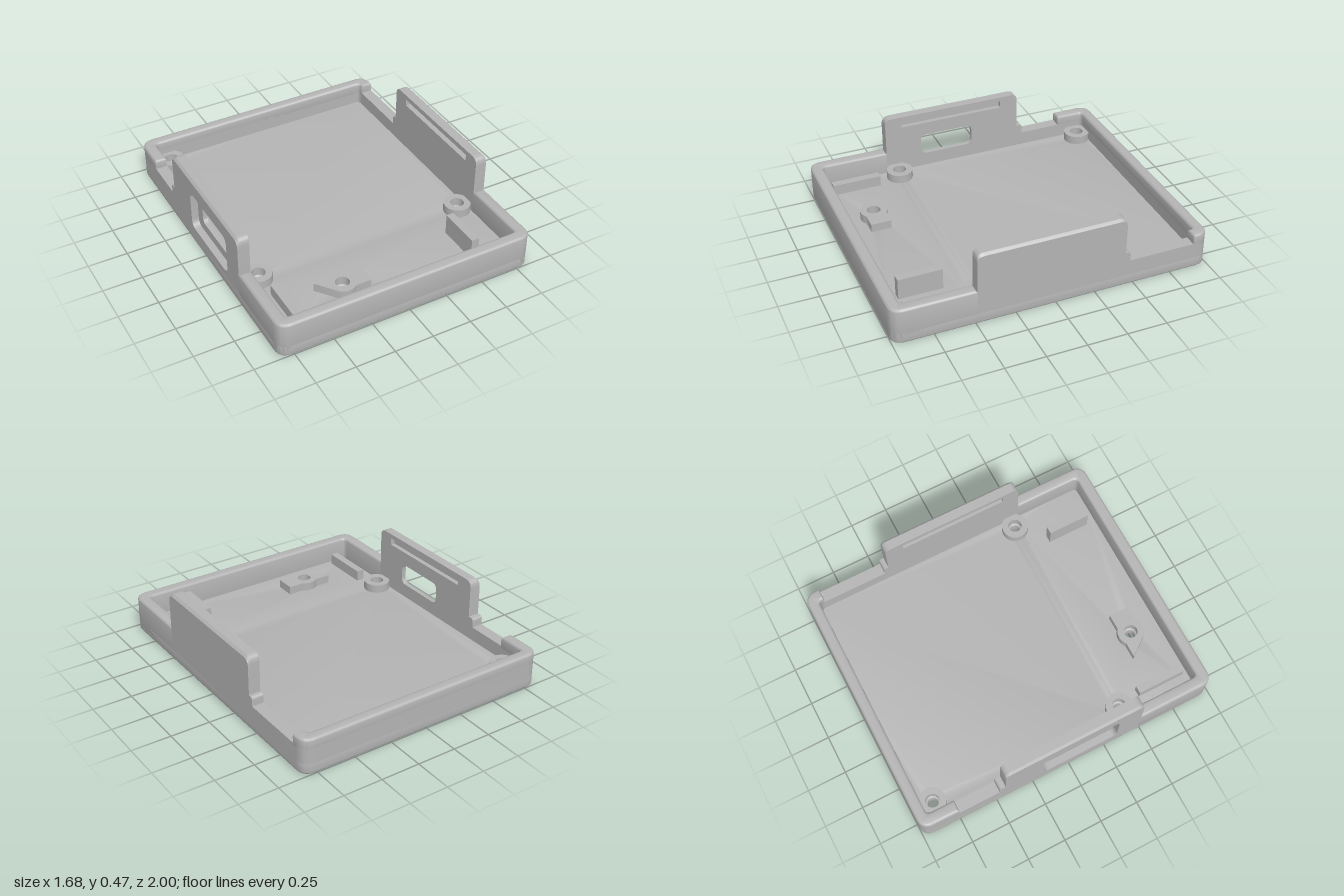
import * as THREE from 'three';
import { toCreasedNormals } from 'three/addons/utils/BufferGeometryUtils.js';

const W = 0.84, IN = 0.765, FLOOR = 0.08, RIM = 0.23, NOTCH = 0.17, TOP = 0.475;
const TAB_FRONT = 0.49, TAB_BACK = -0.44;

// closed outline from [u, v, cornerRadius] points
function outline(points, Type = THREE.Shape) {
  const path = new Type();
  const n = points.length;
  points.forEach(([u, v, r = 0], i) => {
    const corner = new THREE.Vector2(u, v);
    const toward = ([a, b]) => new THREE.Vector2(a, b).sub(corner).setLength(r).add(corner);
    const a = toward(points[(i + n - 1) % n]), b = toward(points[(i + 1) % n]);
    if (i === 0) path.moveTo(a.x, a.y); else path.lineTo(a.x, a.y);
    if (r > 0) path.quadraticCurveTo(u, v, b.x, b.y);
  });
  path.closePath();
  return path;
}

const rect = (u0, u1, v0, v1, r = 0, Type = THREE.Shape) =>
  outline([[u0, v0, r], [u1, v0, r], [u1, v1, r], [u0, v1, r]], Type);

const circle = (u, v, r, Type = THREE.Shape) => {
  const path = new Type();
  path.absarc(u, v, r, 0, Math.PI * 2, false);
  return path;
};

// extrudes a plan outline (x, -z) upward from y0 to y1, with optional rounded edges
function upright(shape, y0, y1, bevel = 0) {
  const g = new THREE.ExtrudeGeometry(shape, {
    depth: y1 - y0 - 2 * bevel, curveSegments: 10, bevelEnabled: bevel > 0,
    bevelSize: bevel, bevelThickness: bevel, bevelOffset: -bevel, bevelSegments: 3,
  });
  g.rotateX(-Math.PI / 2).translate(0, y0 + bevel, 0);
  return toCreasedNormals(g, 0.6);
}

// extrudes a side outline (z, y) between two x positions; chamfer lowers the top at outerX
function sideLayer(shape, x0, x1, outerX = null, chamfer = 0) {
  const g = new THREE.ExtrudeGeometry(shape, { depth: x1 - x0, curveSegments: 8, bevelEnabled: false });
  g.rotateY(-Math.PI / 2).translate(x1, 0, 0);
  if (outerX !== null) {
    const p = g.attributes.position;
    for (let i = 0; i < p.count; i++) {
      if (Math.abs(p.getX(i) - outerX) < 1e-4 && p.getY(i) > 0.42) p.setY(i, p.getY(i) - chamfer);
    }
    g.computeVertexNormals();
  }
  return toCreasedNormals(g, 0.5);
}

export function createModel() {
  const model = new THREE.Group();
  model.name = 'enclosureTray';
  const grey = new THREE.MeshStandardMaterial({ color: 0xb4b4b4 });
  grey.name = 'grey plastic';
  const add = (name, geometry, parent = model) => {
    const mesh = new THREE.Mesh(geometry, grey);
    mesh.name = name;
    parent.add(mesh);
  };

  // floor with four screw holes
  const bosses = [[-0.69, -0.86], [-0.69, 0.43], [0.69, 0.43]];
  const mount = [-0.3, 0.735];
  const floor = rect(-W, W, -1, 1, 0.08);
  for (const [x, z] of [...bosses, mount]) floor.holes.push(circle(x, -z, 0.031, THREE.Path));
  add('floor', upright(floor, 0, FLOOR, 0.012));

  // front wall, wrapping round to the side panels
  add('frontWall', upright(outline([
    [-W, -TAB_FRONT], [-W, -1, 0.08], [W, -1, 0.08], [W, -TAB_FRONT],
    [IN, -TAB_FRONT], [IN, -0.925, 0.03], [-IN, -0.925, 0.03], [-IN, -TAB_FRONT],
  ]), 0.02, RIM, 0.016));

  // back wall: low part with the side notches, then the raised rim
  const backU = (leftEnd, rightEnd) => outline([
    [W, leftEnd], [W, 1, 0.08], [-W, 1, 0.08], [-W, rightEnd],
    [-IN, rightEnd], [-IN, 0.93, 0.03], [IN, 0.93, 0.03], [IN, leftEnd],
  ]);
  add('backWall', upright(backU(-TAB_BACK, -TAB_BACK), 0.02, NOTCH));
  add('backRim', upright(backU(0.895, 0.75), NOTCH - 0.03, RIM, 0.016));

  // tall side panels, layered so the grooves and the port recess have depth
  const panel = (...holes) => {
    const s = outline([[TAB_BACK, 0.02], [TAB_FRONT, 0.02], [TAB_FRONT, TOP, 0.045], [TAB_BACK, TOP, 0.045]]);
    s.holes.push(...holes);
    return s;
  };
  const groove = () => rect(-0.32, 0.38, 0.4, 0.445, 0, THREE.Path);
  const recess = () => rect(-0.18, 0.33, 0.11, 0.37, 0.05, THREE.Path);
  const port = () => rect(-0.11, 0.25, 0.17, 0.31, 0.04, THREE.Path);

  const left = new THREE.Group();
  left.name = 'leftPanel';
  add('leftOuterEdge', sideLayer(panel(), W - 0.015, W, W, 0.015), left);
  add('leftCore', sideLayer(panel(), W - 0.04, W - 0.015), left);
  add('leftGrooveLayer', sideLayer(panel(groove()), IN, W - 0.04), left);

  const right = new THREE.Group();
  right.name = 'rightPanel';
  add('rightOuterEdge', sideLayer(panel(recess()), -W, -W + 0.015, -W, 0.015), right);
  add('rightRecessLayer', sideLayer(panel(recess()), -W + 0.015, -W + 0.045), right);
  add('rightPortLayer', sideLayer(panel(port(), groove()), -W + 0.045, -IN), right);
  model.add(left, right);

  // small rounded steps between panel and notch
  for (const [name, x0, x1, end] of [['leftStep', IN, W, 0.472], ['rightStep', -W, -IN, 0.48]]) {
    const step = outline([[-end, 0.13], [-0.42, 0.13], [-0.42, RIM], [-end, RIM, 0.02]]);
    add(name, sideLayer(step, x0, x1));
  }

  // screw bosses
  for (const [x, z] of bosses) {
    const ring = circle(x, -z, 0.085);
    ring.holes.push(circle(x, -z, 0.043, THREE.Path));
    add('screwBoss', upright(ring, FLOOR - 0.01, 0.135));
  }

  // front mounting block: a bar with a round swelling around its hole
  const [mx, mz] = mount, a = Math.asin(0.065 / 0.085);
  const block = new THREE.Shape();
  block.moveTo(mx - 0.155, -mz - 0.065);
  block.absarc(mx, -mz, 0.085, Math.PI + a, 2 * Math.PI - a, false);
  block.lineTo(mx + 0.155, -mz - 0.065);
  block.lineTo(mx + 0.155, -mz + 0.065);
  block.absarc(mx, -mz, 0.085, a, Math.PI - a, false);
  block.lineTo(mx - 0.155, -mz + 0.065);
  block.closePath();
  block.holes.push(circle(mx, -mz, 0.043, THREE.Path));
  add('mountingBlock', upright(block, FLOOR - 0.01, 0.135));

  // support ribs
  add('rightRib', upright(rect(-0.685, -0.635, -0.895, -0.58), FLOOR - 0.01, 0.15));
  add('leftRib', upright(rect(0.503, 0.553, -0.865, -0.59), FLOOR - 0.01, 0.215));

  return model;
}
